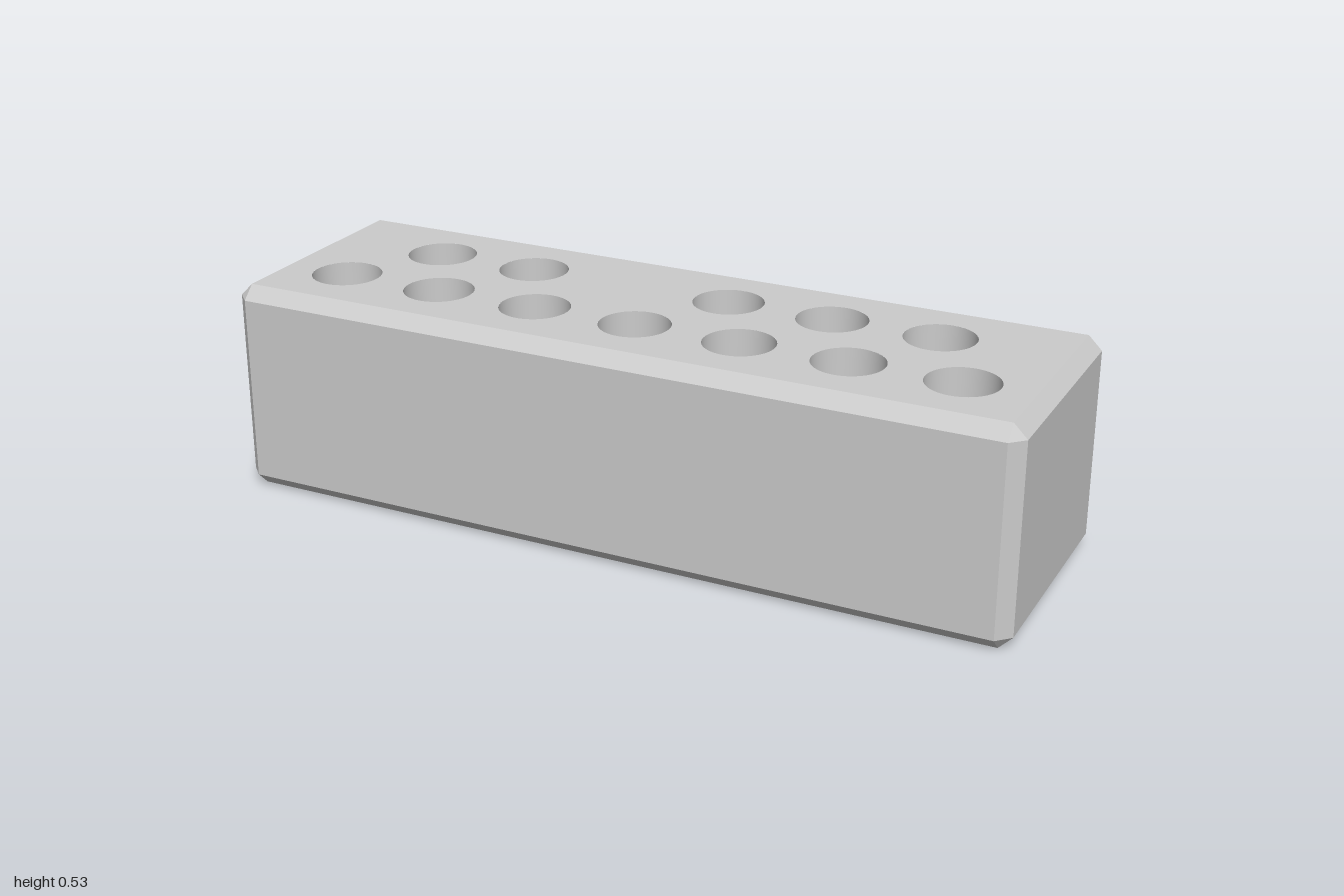
import * as THREE from 'three';
import { mergeGeometries } from 'three/addons/utils/BufferGeometryUtils.js';

const W = 1, D = 0.3167, H = 0.5333, C = 0.0333; // half width, half depth, height, chamfer
const R = 0.0867, DEPTH = 0.4, SEG = 48, ROW = 0.1167, STEP = 0.2667;

// Eight-point ring; with inset on both axes it closes into a plain rectangle
function ring(y, w, d, cx, cz) {
  return [
    [w, d - cz], [w, -d + cz], [w - cx, -d], [-w + cx, -d],
    [-w, -d + cz], [-w, d - cz], [-w + cx, d], [w - cx, d],
  ].map(([x, z]) => new THREE.Vector3(x, y, z));
}

// Chamfered sides lofted through four rings, with a flat underside
function shellGeometry() {
  const rings = [
    ring(0, W - C, D - C, 0, 0), ring(C, W, D, C, C),
    ring(H - C, W, D, C, C), ring(H, W - C, D - C, 0, 0),
  ];
  const pos = [];
  const tri = (a, b, c) => {
    if (a.equals(b) || b.equals(c) || a.equals(c)) return;
    for (const v of [a, b, c]) pos.push(v.x, v.y, v.z);
  };
  for (let i = 0; i < 3; i++) {
    for (let j = 0; j < 8; j++) {
      const k = (j + 1) % 8;
      const a = rings[i][j], b = rings[i][k], c = rings[i + 1][k], d = rings[i + 1][j];
      tri(a, b, c);
      tri(a, c, d);
    }
  }
  const [p, q, , r, , s] = rings[0];
  tri(p, r, q);
  tri(p, s, r);
  const g = new THREE.BufferGeometry();
  g.setAttribute('position', new THREE.Float32BufferAttribute(pos, 3));
  g.computeVertexNormals();
  return g;
}

// Inward-facing wall and flat floor of one blind hole
function socketGeometry() {
  const wall = new THREE.LatheGeometry(
    [new THREE.Vector2(R, H), new THREE.Vector2(R, H - DEPTH)], SEG);
  const floor = new THREE.CircleGeometry(R, SEG).rotateX(-Math.PI / 2).translate(0, H - DEPTH, 0);
  return mergeGeometries([wall, floor]);
}

export function createModel() {
  const group = new THREE.Group();
  group.name = 'holderBlock';
  const material = new THREE.MeshStandardMaterial({ color: 0xcccccc });
  const add = (geometry, name) => {
    const mesh = new THREE.Mesh(geometry, material);
    mesh.name = name;
    group.add(mesh);
    return mesh;
  };

  // Full front row, staggered back row with one gap
  const holes = [
    ...[-3, -2, -1, 0, 1, 2, 3].map((n) => [n * STEP, ROW]),
    ...[-2.5, -1.5, 0.5, 1.5, 2.5].map((n) => [n * STEP, -ROW]),
  ];

  add(shellGeometry(), 'body');

  // Pierced top face
  const x = W - C, z = D - C;
  const shape = new THREE.Shape([[-x, -z], [x, -z], [x, z], [-x, z]].map((p) => new THREE.Vector2(...p)));
  for (const [hx, hz] of holes) {
    shape.holes.push(new THREE.Path().absarc(hx, -hz, R, 0, Math.PI * 2, true));
  }
  add(new THREE.ShapeGeometry(shape, SEG).rotateX(-Math.PI / 2).translate(0, H, 0), 'topFace');

  // Sockets
  const socket = socketGeometry();
  holes.forEach(([hx, hz], i) => add(socket, `socket${i + 1}`).position.set(hx, 0, hz));
  return group;
}
